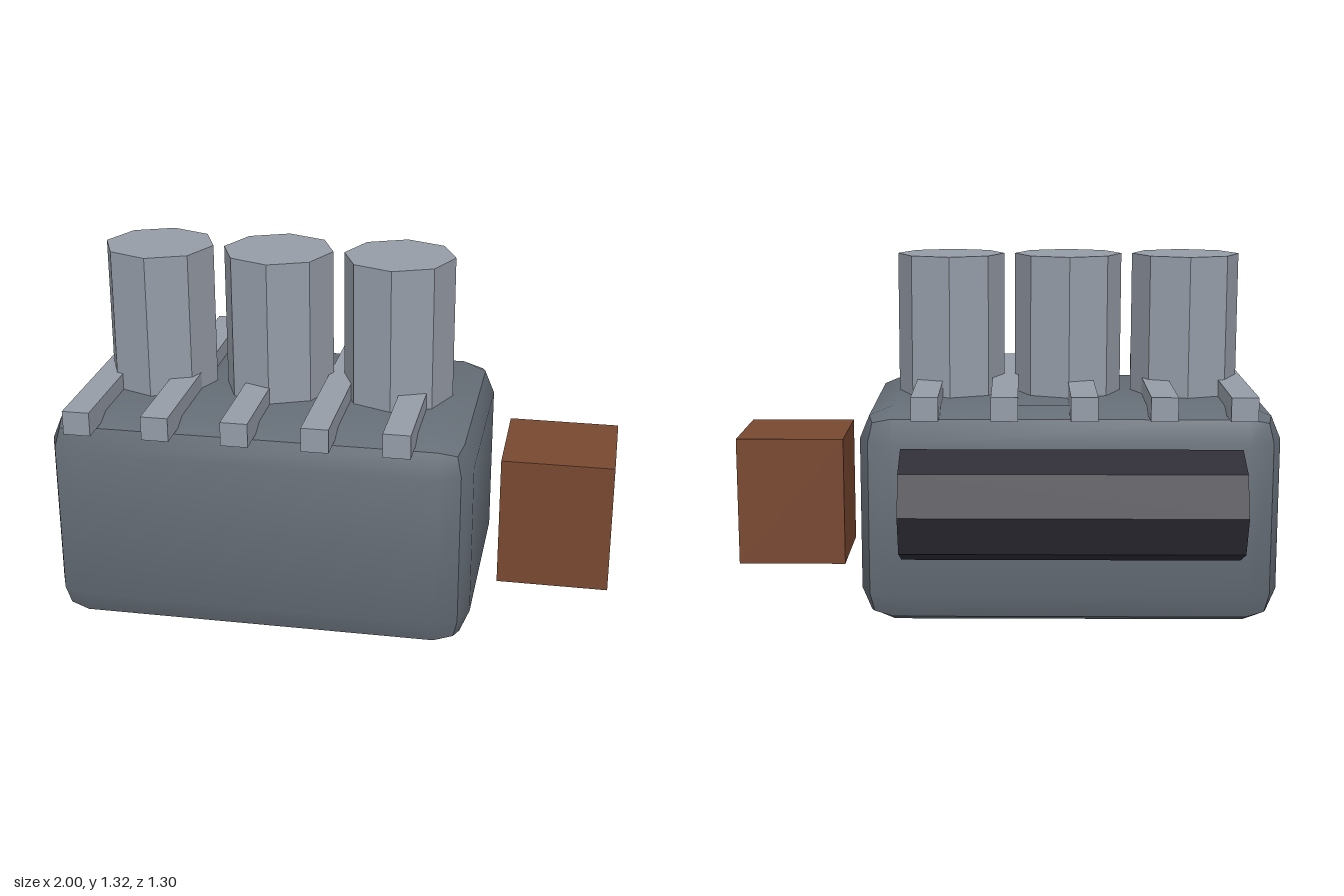
import * as THREE from 'three';
import { toCreasedNormals } from 'three/addons/utils/BufferGeometryUtils.js';
import { RoundedBoxGeometry } from 'three/addons/geometries/RoundedBoxGeometry.js';

const material = (name, color, flatShading = false) => {
  const m = new THREE.MeshStandardMaterial({ color, flatShading });
  m.name = name;
  return m;
};

export function createModel() {
  const model = new THREE.Group();
  model.name = 'engineBlock';

  const slate = material('slate casing', 0x656d76);
  const steel = material('light steel', 0x959ca7, true);
  const dark = material('dark metal', 0x2e2d37, true);
  const rust = material('rust brown', 0x784830, true);

  const midZ = 0.11;
  const add = (name, geometry, mat, x, y, z) => {
    const mesh = new THREE.Mesh(geometry, mat);
    mesh.name = name;
    mesh.position.set(x, y, z);
    model.add(mesh);
    return mesh;
  };

  // Casing with two-step bevels, creased along the middle of each bevel
  const casing = toCreasedNormals(new RoundedBoxGeometry(1.52, 0.8, 0.96, 1, 0.12), 0.6);
  add('casing', casing, slate, -0.24, 0.4, midZ);

  // Three octagonal cylinders on top
  const stack = new THREE.CylinderGeometry(0.2, 0.2, 0.54, 8);
  for (let i = 0; i < 3; i++) add(`cylinder${i + 1}`, stack, steel, -0.68 + i * 0.44, 1.05, midZ);

  // Five cross bars overhanging front and back
  const bar = new THREE.BoxGeometry(0.096, 0.086, 1.08);
  for (let i = 0; i < 5; i++) add(`crossBar${i + 1}`, bar, steel, -0.845 + i * 0.28, 0.818, midZ - 0.002);

  // Octagonal drum lying along the back
  const drum = new THREE.CylinderGeometry(0.2, 0.2, 1.2, 8).rotateZ(Math.PI / 2);
  add('rearDrum', drum, dark, -0.24, 0.48, -0.45);

  // Detached block at the left side
  add('sideBlock', new THREE.BoxGeometry(0.4, 0.48, 0.4), rust, 0.8, 0.403, midZ);

  return model;
}
